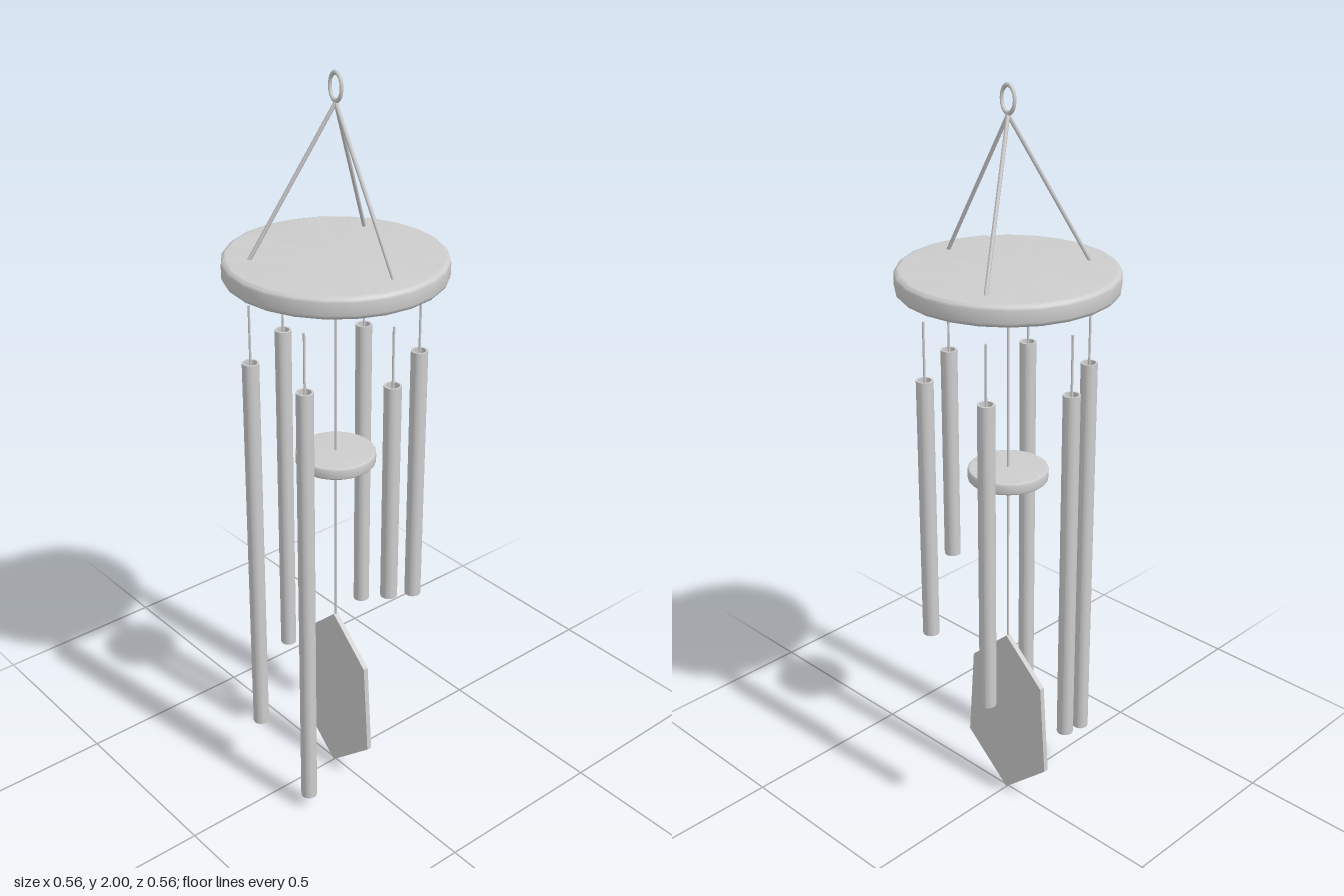
import * as THREE from 'three';
import { toCreasedNormals } from 'three/addons/utils/BufferGeometryUtils.js';

const metal = new THREE.MeshStandardMaterial({ color: 0xcccccc });
metal.name = 'pale grey';

export function createModel() {
  const model = new THREE.Group();
  model.name = 'windChime';

  const add = (name, geometry) => {
    const mesh = new THREE.Mesh(geometry, metal);
    mesh.name = name;
    model.add(mesh);
    return mesh;
  };
  const at = (radius, angle, y) =>
    new THREE.Vector3(radius * Math.cos(angle), y, radius * Math.sin(angle));

  // Straight cord between two points
  const cord = (name, a, b, radius) => {
    const mesh = add(name, new THREE.CylinderGeometry(radius, radius, a.distanceTo(b), 8));
    mesh.position.copy(a).add(b).multiplyScalar(0.5);
    mesh.quaternion.setFromUnitVectors(new THREE.Vector3(0, 1, 0), b.clone().sub(a).normalize());
  };

  // Flat disc with a softly rounded rim
  const disc = (name, radius, bottom, top, bevel) => {
    const points = [new THREE.Vector2(0, bottom), new THREE.Vector2(radius - bevel - 0.002, bottom)];
    for (const [y, start] of [[bottom + bevel, -Math.PI / 2], [top - bevel, 0]]) {
      for (let i = 0; i <= 3; i++) {
        const t = start + (i / 3) * Math.PI / 2;
        points.push(new THREE.Vector2(radius - bevel + bevel * Math.cos(t), y + bevel * Math.sin(t)));
      }
    }
    points.push(new THREE.Vector2(radius - bevel - 0.002, top), new THREE.Vector2(0, top));
    add(name, toCreasedNormals(new THREE.LatheGeometry(points, 24), 0.7));
  };

  disc('topDisc', 0.278, 1.503, 1.558, 0.012);
  disc('clapper', 0.105, 0.99, 1.022, 0.005);

  // Oval hanging ring
  const ring = add('hangingRing', new THREE.TorusGeometry(0.027, 0.005, 10, 28));
  ring.scale.set(0.78, 1.2, 1);
  ring.position.y = 1.962;

  // Three cords from the ring to the disc
  for (let i = 0; i < 3; i++) {
    cord('hangerCord', at(0.213, i * Math.PI * 2 / 3, 1.55), new THREE.Vector3(0, 1.926, 0), 0.005);
  }

  // Six hollow tubes, each shorter than the last
  const tubeTop = 1.287, outer = 0.022, inner = 0.017;
  for (let i = 0; i < 6; i++) {
    const angle = (i + 1) * Math.PI / 3;
    const bottom = 0.045 + i * 0.128;
    const profile = [[inner, bottom], [outer, bottom], [outer, tubeTop], [inner, tubeTop], [inner, bottom]]
      .map(([x, y]) => new THREE.Vector2(x, y));
    const tube = add('chimeTube', toCreasedNormals(new THREE.LatheGeometry(profile, 16), 0.7));
    tube.position.copy(at(0.214, angle, 0));
    cord('tubeCord', at(0.214, angle, 1.28), at(0.214, angle, 1.44), 0.003);
  }

  // Central cord through the clapper down to the sail
  cord('centreCord', new THREE.Vector3(0, 0.5, 0), new THREE.Vector3(0, 1.51, 0), 0.003);

  // Six-sided wind sail
  const outline = [[0, 0], [0.147, 0.13], [0.128, 0.395], [0, 0.512], [-0.128, 0.395], [-0.147, 0.13]];
  const shape = new THREE.Shape(outline.map(([x, y]) => new THREE.Vector2(x, y)));
  const sail = add('windSail', new THREE.ExtrudeGeometry(shape, { depth: 0.014, bevelEnabled: false }));
  sail.position.z = -0.007;

  return model;
}
